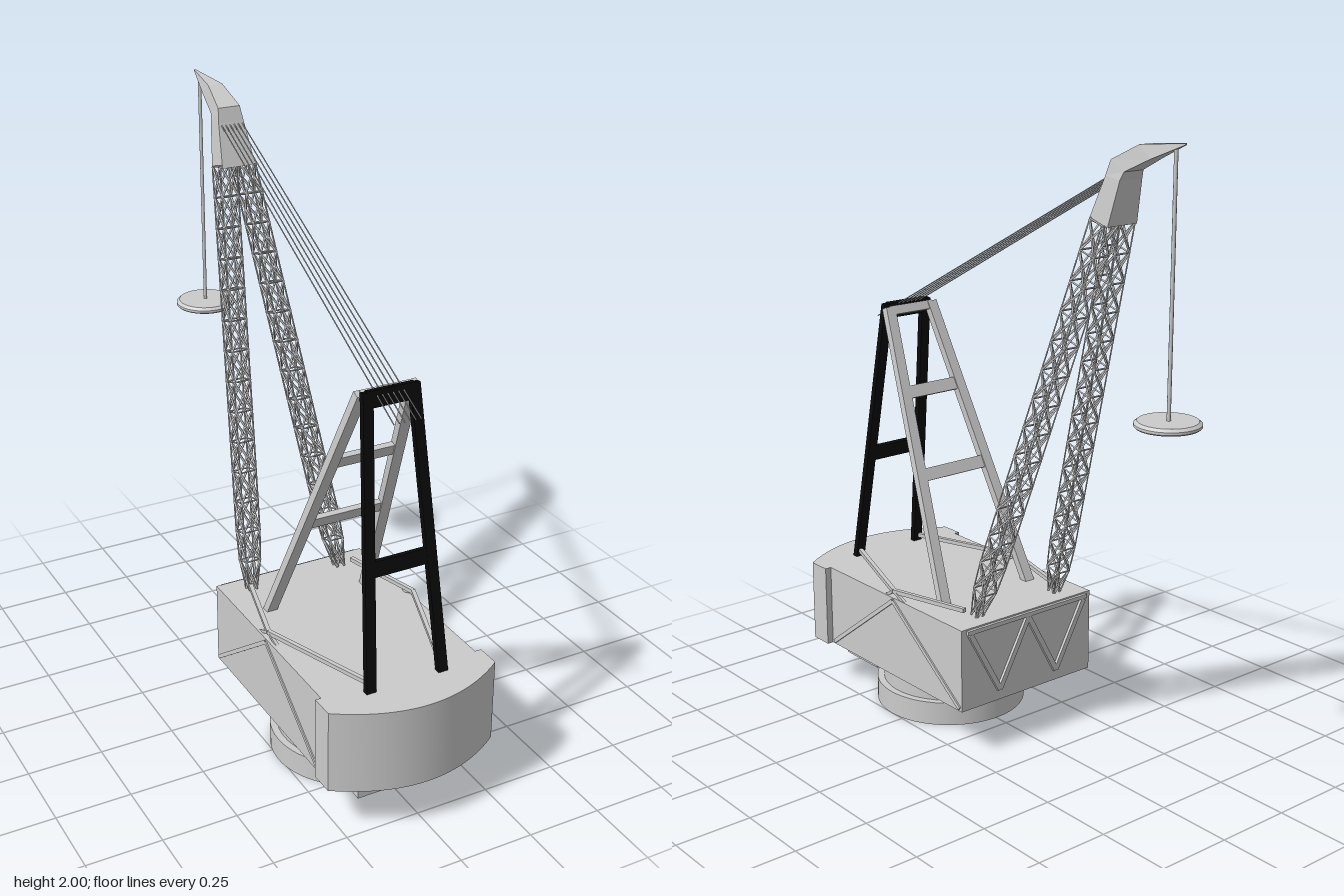
import * as THREE from 'three';
import { mergeGeometries, toCreasedNormals } from 'three/addons/utils/BufferGeometryUtils.js';

const grey = new THREE.MeshStandardMaterial({ color: 0xcccccc });
const black = new THREE.MeshStandardMaterial({ color: 0x0a0a0a });
const V = (x, y, z) => new THREE.Vector3(x, y, z);

// Rectangular bar from a to b: w across (near x), d deep
function bar(a, b, w, d = w) {
  const dir = b.clone().sub(a);
  const len = dir.length();
  dir.normalize();
  const side = Math.abs(dir.x) > 0.9 ? V(0, 0, 1) : V(1, 0, 0);
  const depth = side.clone().cross(dir).normalize();
  side.copy(dir).cross(depth);
  const mid = a.clone().add(b).multiplyScalar(0.5);
  return new THREE.BoxGeometry(w, len, d)
    .applyMatrix4(new THREE.Matrix4().makeBasis(side, dir, depth).setPosition(mid));
}

// Round rod from a to b
function rod(a, b, r, sides = 6) {
  const dir = b.clone().sub(a);
  const g = new THREE.CylinderGeometry(r, r, dir.length(), sides);
  g.applyQuaternion(new THREE.Quaternion().setFromUnitVectors(V(0, 1, 0), dir.normalize()));
  const mid = a.clone().add(b).multiplyScalar(0.5);
  return g.translate(mid.x, mid.y, mid.z);
}

// Bars along a list of points
const chain = (pts, w, d) => pts.slice(1).map((p, i) => bar(pts[i], p, w, d));

// Four-chord lattice leg with crossed bracing, tapering at the foot
function lattice(foot, top, size, bays) {
  const parts = [];
  const corners = [[-1, -1], [1, -1], [1, 1], [-1, 1]];
  const ring = (i) => {
    const t = i / bays;
    const h = (size / 2) * Math.min(1, 0.45 + t * 6);
    const c = foot.clone().lerp(top, t);
    return corners.map(([x, z]) => V(c.x + x * h, c.y + z * h * 0.3, c.z + z * h));
  };
  for (let i = 0; i < bays; i++) {
    const a = ring(i), b = ring(i + 1);
    for (let k = 0; k < 4; k++) {
      const n = (k + 1) % 4;
      parts.push(rod(a[k], b[k], 0.003, 4), rod(a[k], b[n], 0.004, 4),
        rod(a[n], b[k], 0.004, 4), rod(b[k], b[n], 0.003, 4));
    }
  }
  return mergeGeometries(parts);
}

// Boom head lofted through rectangular sections: [backY, backZ, frontY, frontZ, halfWidth]
function headGeometry() {
  const sections = [
    [1.757, -0.423, 1.745, -0.503, 0.058],
    [1.89, -0.476, 1.88, -0.535, 0.044],
    [1.935, -0.49, 1.905, -0.545, 0.038],
    [1.985, -0.59, 1.948, -0.635, 0.025],
    [2.0, -0.746, 1.995, -0.746, 0.003],
  ];
  const pos = [], idx = [];
  sections.forEach(([by, bz, fy, fz, w], i) => {
    pos.push(-w, by, bz, w, by, bz, w, fy, fz, -w, fy, fz);
    if (i === 0) return;
    for (let k = 0; k < 4; k++) {
      const a = (i - 1) * 4 + k, b = (i - 1) * 4 + ((k + 1) % 4);
      idx.push(a, b, b + 4, a, b + 4, a + 4);
    }
  });
  const e = (sections.length - 1) * 4;
  idx.push(0, 2, 1, 0, 3, 2, e, e + 1, e + 2, e, e + 2, e + 3);
  const g = new THREE.BufferGeometry();
  g.setAttribute('position', new THREE.Float32BufferAttribute(pos, 3));
  g.setIndex(idx);
  const flat = g.toNonIndexed();
  flat.computeVertexNormals();
  return flat;
}

export function createModel() {
  const model = new THREE.Group();
  const add = (name, geo, mat = grey, x = 0, y = 0, z = 0, parent = model) => {
    const m = new THREE.Mesh(geo, mat);
    m.name = name;
    m.position.set(x, y, z);
    parent.add(m);
    return m;
  };

  // Turntable
  add('baseDrum', new THREE.CylinderGeometry(0.254, 0.254, 0.08, 64), grey, -0.003, 0.04, 0.305);
  add('slewRing', new THREE.CylinderGeometry(0.231, 0.231, 0.09, 64), grey, -0.003, 0.12, 0.305);
  add('underBox', new THREE.BoxGeometry(0.345, 0.09, 0.18), grey, -0.004, 0.12, 0.595);

  // Machinery house with a wider, rounded counterweight tail
  const s = new THREE.Shape();
  s.moveTo(-0.275, -0.105);
  s.lineTo(0.27, -0.105);
  s.lineTo(0.27, 0.625);
  s.lineTo(0.292, 0.625);
  s.lineTo(0.292, 0.705);
  for (let i = 1; i <= 24; i++) {
    const u = 1 - i / 12;
    s.lineTo(u * 0.293, 0.805 - 0.1 * u * u);
  }
  s.lineTo(-0.294, 0.625);
  s.lineTo(-0.275, 0.625);
  s.closePath();
  const house = new THREE.ExtrudeGeometry(s, { depth: 0.28, bevelEnabled: false });
  house.rotateX(Math.PI / 2);
  add('house', toCreasedNormals(house, 0.5), grey, 0, 0.44, 0);

  // Truss on the boom-side wall
  const wall = [-0.24, -0.12, 0, 0.12, 0.24].map((x, i) => V(x - 0.002, i % 2 ? 0.2 : 0.42, -0.108));
  add('wallTruss', mergeGeometries([
    ...chain(wall, 0.018, 0.014),
    bar(V(-0.255, 0.428, -0.108), V(0.25, 0.428, -0.108), 0.014),
  ]));

  // Side braces and deck rails
  for (const k of [-1, 1]) {
    const side = k < 0 ? 'right' : 'left';
    const x = k * 0.272 - 0.002;
    add(side + 'SideBrace', mergeGeometries(
      chain([V(x, 0.17, -0.095), V(x, 0.43, 0.26), V(x, 0.17, 0.61)], 0.01, 0.014)));
    add(side + 'DeckRail', mergeGeometries([
      ...chain([V(k * 0.19, 0.463, -0.02), V(k * 0.265, 0.463, 0.26), V(k * 0.128, 0.463, 0.645)], 0.014),
      bar(V(k * 0.265, 0.463, 0.26), V(k * 0.262, 0.435, 0.2), 0.01),
      bar(V(k * 0.265, 0.463, 0.26), V(k * 0.258, 0.435, 0.31), 0.01),
    ]));
  }

  // A-frame: dark upright legs with grey raking legs behind
  const frame = new THREE.Group();
  frame.name = 'aFrame';
  frame.position.x = -0.003;
  model.add(frame);
  const dark = [], rake = [];
  const darkAt = (k, y) => V(k * THREE.MathUtils.mapLinear(y, 0.44, 1.36, 0.126, 0.078), y,
    THREE.MathUtils.mapLinear(y, 0.44, 1.36, 0.665, 0.53));
  const rakeAt = (k, y) => V(k * THREE.MathUtils.mapLinear(y, 0.44, 1.36, 0.178, 0.085), y,
    THREE.MathUtils.mapLinear(y, 0.44, 1.36, 0.105, 0.515));
  for (const k of [-1, 1]) {
    dark.push(bar(darkAt(k, 0.43), darkAt(k, 1.36), 0.034, 0.02));
    rake.push(bar(rakeAt(k, 0.43), rakeAt(k, 1.35), 0.036, 0.026));
  }
  const cross = (at, y, h, d) => {
    const c = at(1, y);
    return new THREE.BoxGeometry(c.x * 2, h, d).rotateX(at === darkAt ? -0.146 : 0.42).translate(0, y, c.z);
  };
  dark.push(cross(darkAt, 0.825, 0.05, 0.018), cross(darkAt, 1.338, 0.052, 0.02));
  rake.push(cross(rakeAt, 0.83, 0.042, 0.018), cross(rakeAt, 1.085, 0.042, 0.018),
    cross(rakeAt, 1.34, 0.03, 0.02));
  add('uprightFrame', mergeGeometries(dark), black, 0, 0, 0, frame);
  add('rakingFrame', mergeGeometries(rake), grey, 0, 0, 0, frame);

  // Boom: two lattice legs meeting at a hooked head
  const boom = new THREE.Group();
  boom.name = 'boom';
  boom.position.x = -0.014;
  model.add(boom);
  for (const k of [-1, 1]) {
    add(k < 0 ? 'rightBoomLeg' : 'leftBoomLeg',
      lattice(V(k * 0.165, 0.44, -0.035), V(k * 0.033, 1.755, -0.462), 0.058, 14), grey, 0, 0, 0, boom);
  }
  add('boomHead', headGeometry(), grey, 0, 0, 0, boom);

  // Stay cables over the A-frame
  const stays = [];
  for (let i = 0; i < 6; i++) {
    const x = (i - 2.5) / 2.5;
    stays.push(rod(V(-0.008 + x * 0.045, 1.297, 0.638), V(-0.012 + x * 0.036, 1.885, -0.48), 0.002, 5));
  }
  add('stayCables', mergeGeometries(stays));

  // Hoist cable and hanging disc
  add('hoistCable', rod(V(-0.016, 1.2, -0.708), V(-0.016, 1.99, -0.708), 0.006, 8));
  const disc = [[0, 1.19], [0.096, 1.19], [0.1, 1.194], [0.1, 1.202], [0.09, 1.21], [0, 1.21]];
  const lathe = new THREE.LatheGeometry(disc.map(([r, y]) => new THREE.Vector2(r, y)), 40);
  add('hangingDisc', toCreasedNormals(lathe, 0.5), grey, -0.017, 0, -0.705);

  return model;
}
